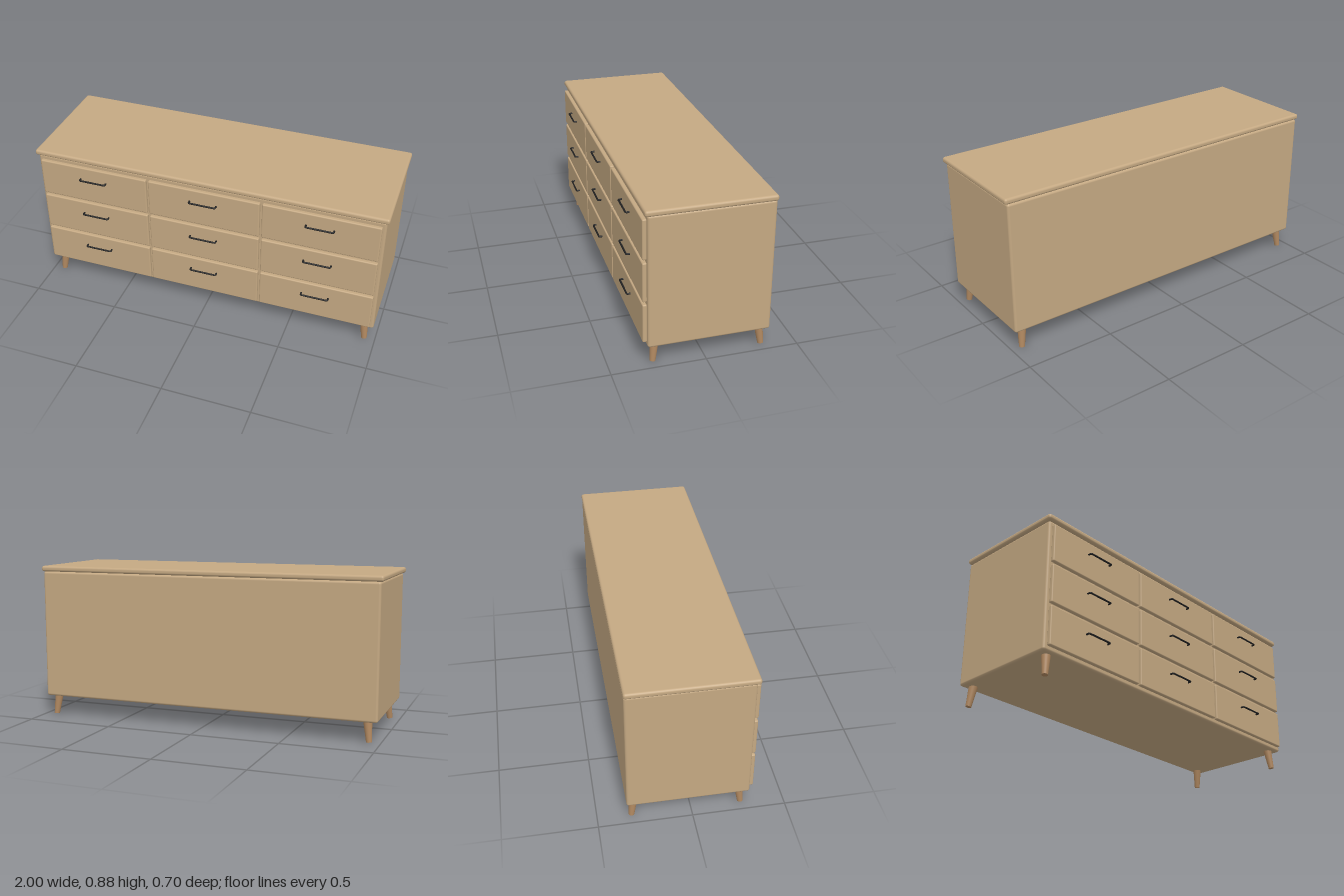
import * as THREE from 'three';
import { RoundedBoxGeometry } from 'three/addons/geometries/RoundedBoxGeometry.js';

const wood = new THREE.MeshStandardMaterial({ color: 0xc4a882 });
const legWood = new THREE.MeshStandardMaterial({ color: 0xb08860 });
const black = new THREE.MeshStandardMaterial({ color: 0x222222 });

// Rounded box given by its extents on each axis
function slab(name, [x0, x1], [y0, y1], [z0, z1], radius) {
  const geometry = new RoundedBoxGeometry(x1 - x0, y1 - y0, z1 - z0, 4, radius);
  const mesh = new THREE.Mesh(geometry, wood);
  mesh.position.set((x0 + x1) / 2, (y0 + y1) / 2, (z0 + z1) / 2);
  mesh.name = name;
  return mesh;
}

// Bent bar pull: two posts joined by a straight grip with rounded corners
function handleGeometry() {
  const v = (x, z) => new THREE.Vector3(x, 0, z);
  const half = 0.076, out = 0.019, bend = 0.008;
  const path = new THREE.CurvePath();
  path.add(new THREE.LineCurve3(v(-half, -0.004), v(-half, out - bend)));
  path.add(new THREE.QuadraticBezierCurve3(v(-half, out - bend), v(-half, out), v(-half + bend, out)));
  path.add(new THREE.LineCurve3(v(-half + bend, out), v(half - bend, out)));
  path.add(new THREE.QuadraticBezierCurve3(v(half - bend, out), v(half, out), v(half, out - bend)));
  path.add(new THREE.LineCurve3(v(half, out - bend), v(half, -0.004)));
  return new THREE.TubeGeometry(path, 80, 0.005, 10);
}

// Tapered leg running between two centre points
function leg(name, top, bottom) {
  const axis = top.clone().sub(bottom);
  const mesh = new THREE.Mesh(new THREE.CylinderGeometry(0.0245, 0.0155, axis.length(), 24), legWood);
  mesh.position.copy(top).add(bottom).multiplyScalar(0.5);
  mesh.quaternion.setFromUnitVectors(new THREE.Vector3(0, 1, 0), axis.normalize());
  mesh.name = name;
  return mesh;
}

export function createModel() {
  const group = new THREE.Group();
  group.name = 'dresser';

  // Carcass and overhanging top
  group.add(slab('body', [-0.987, 0.987], [0.113, 0.848], [-0.347, 0.305], 0.013));
  group.add(slab('top', [-1, 1], [0.848, 0.88], [-0.349, 0.321], 0.013));

  // Three by three drawer fronts, each with a pull above its middle
  const pull = handleGeometry();
  for (const [r, y] of [0.715, 0.48, 0.246].entries()) {
    for (const [c, x] of [-0.649, 0, 0.649].entries()) {
      const drawer = new THREE.Group();
      drawer.name = `drawer${r + 1}${c + 1}`;
      drawer.add(slab('drawerFront', [x - 0.318, x + 0.318], [y - 0.109, y + 0.109], [0.303, 0.327], 0.007));
      const handle = new THREE.Mesh(pull, black);
      handle.name = 'handle';
      handle.position.set(x, y + 0.035, 0.327);
      drawer.add(handle);
      group.add(drawer);
    }
  }

  // Four splayed legs
  for (const sx of [-1, 1]) {
    for (const front of [true, false]) {
      const topZ = front ? 0.256 : -0.304;
      const footZ = front ? 0.269 : -0.318;
      group.add(leg(
        `${front ? 'front' : 'back'}${sx > 0 ? 'Left' : 'Right'}Leg`,
        new THREE.Vector3(sx * 0.926, 0.125, topZ),
        new THREE.Vector3(sx * 0.939, 0.003, footZ)
      ));
    }
  }
  return group;
}
